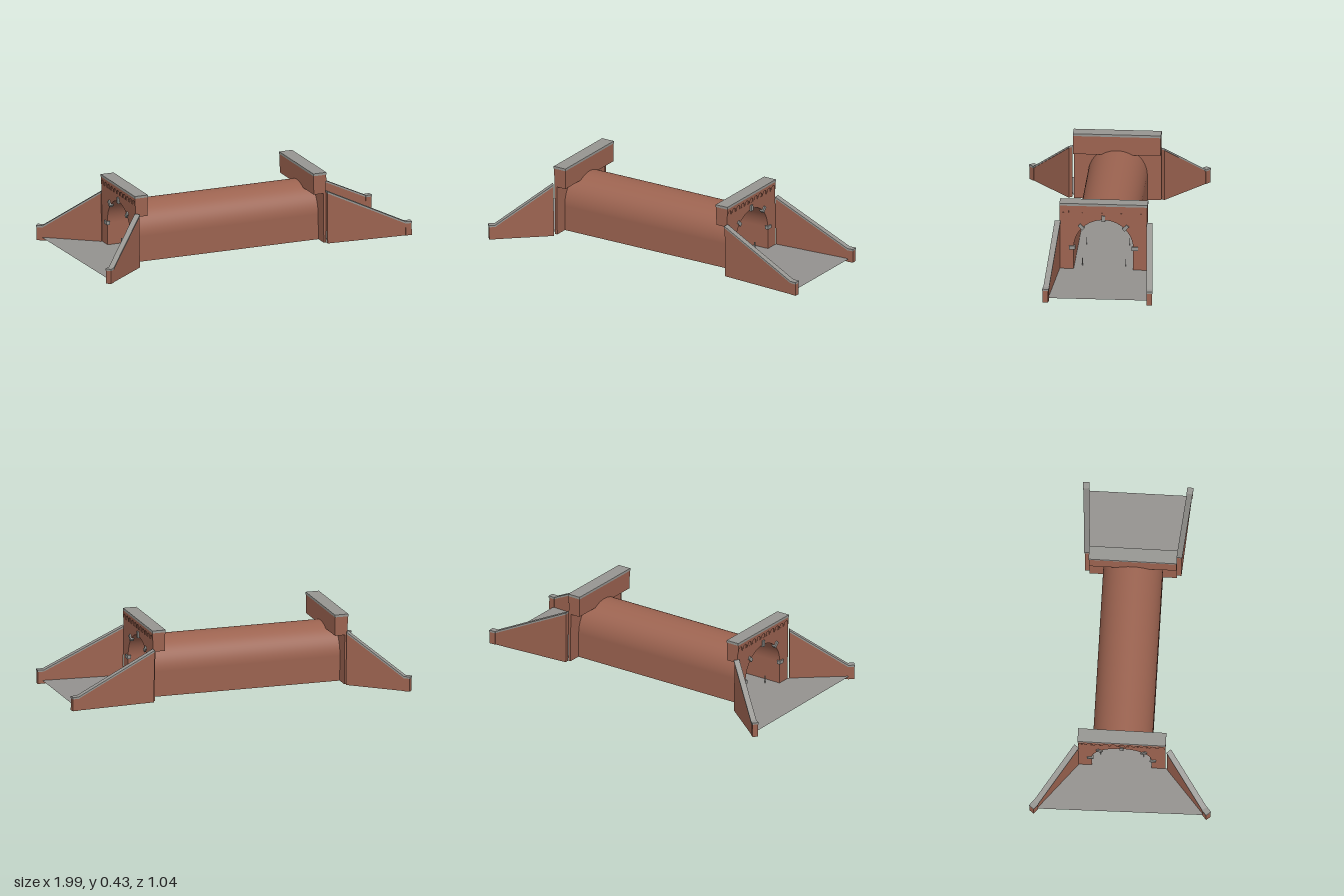
import * as THREE from 'three';

const mat = (name, color, side = THREE.FrontSide) => {
  const m = new THREE.MeshStandardMaterial({ color, side });
  m.name = name;
  return m;
};

const CZ = -0.011;      // tunnel axis in z
const R = 0.17;         // vault radius
const SPRING = 0.148;   // height where the vault begins
const FLOOR = 0.018;
const HALF = 0.25;      // half width of a portal

export function createModel() {
  const brick = mat('brick', 0x9c6350);
  const vaultBrick = mat('vault brick', 0x9c6350, THREE.DoubleSide);
  const stone = mat('stone', 0x979692);
  const ground = mat('ground', 0x94928f, THREE.DoubleSide);

  const root = new THREE.Group();
  const tunnel = new THREE.Group();
  tunnel.name = 'tunnel';
  tunnel.rotation.z = 0.0105; // gentle gradient
  tunnel.position.y = 0.0115;
  root.add(tunnel);

  const add = (parent, name, geo, material) => {
    const m = new THREE.Mesh(geo, material);
    m.name = name;
    parent.add(m);
    return m;
  };
  const box = (parent, name, material, w, h, d, x, y, z) => {
    const m = add(parent, name, new THREE.BoxGeometry(w, h, d), material);
    m.position.set(x, y, z);
    return m;
  };
  const extrude = (shape, depth) =>
    new THREE.ExtrudeGeometry(shape, { depth, bevelEnabled: false, curveSegments: 24 });

  // Vault: half cylinder with straight side walls
  const x0 = -0.685, x1 = 0.488, len = x1 - x0, mid = (x0 + x1) / 2;
  const vault = add(tunnel, 'vault',
    new THREE.CylinderGeometry(R, R, len, 40, 1, true, 0, Math.PI), vaultBrick);
  vault.rotation.z = Math.PI / 2;
  vault.rotation.order = 'YXZ';
  // axis along x, open half facing down
  vault.geometry.rotateY(Math.PI / 2 - Math.PI / 2);
  vault.geometry.translate(0, 0, 0);
  vault.position.set(mid, SPRING, CZ);
  for (const s of [1, -1]) {
    const side = add(tunnel, 'sideWall', new THREE.PlaneGeometry(len, SPRING), vaultBrick);
    side.position.set(mid, SPRING / 2, CZ + s * R);
    if (s < 0) side.rotation.y = Math.PI;
  }

  // Ground slab that widens in front of both portals
  const outline = [
    [-0.97, -0.485], [-0.685, -0.262], [-0.685, CZ - R], [0.488, CZ - R], [0.488, -0.275],
    [0.965, -0.305], [0.965, 0.28], [0.488, 0.25], [0.488, CZ + R], [-0.685, CZ + R],
    [-0.685, 0.245], [-0.955, 0.485],
  ];
  const slab = new THREE.ShapeGeometry(new THREE.Shape(outline.map(([x, z]) => new THREE.Vector2(x, -z))));
  slab.rotateX(-Math.PI / 2).translate(0, FLOOR, 0);
  add(tunnel, 'ground', slab, ground);

  // Wall outline between two heights, with the arched opening cut out
  const archedShape = (bottom, top) => {
    const a = bottom > SPRING ? Math.asin((bottom - SPRING) / R) : 0;
    const s = new THREE.Shape();
    s.moveTo(-HALF, bottom);
    s.lineTo(-R * Math.cos(a), bottom);
    s.absarc(0, SPRING, R, Math.PI - a, a, true);
    s.lineTo(R * Math.cos(a), bottom);
    s.lineTo(HALF, bottom);
    s.lineTo(HALF, top);
    s.lineTo(-HALF, top);
    return s;
  };

  // Band with a row of little arches along its lower edge
  const arcadeShape = () => {
    const s = new THREE.Shape();
    const n = 11, pitch = 2 * HALF / n, r = 0.0165;
    s.moveTo(-HALF, 0.36);
    for (let i = 0; i < n; i++) {
      const c = -HALF + (i + 0.5) * pitch;
      s.lineTo(c - r, 0.36);
      s.absarc(c, 0.37, r, Math.PI, 0, true);
      s.lineTo(c + r, 0.36);
    }
    s.lineTo(HALF, 0.36);
    s.lineTo(HALF, 0.402);
    s.lineTo(-HALF, 0.402);
    return s;
  };

  // Portal, built facing +x with its outer face at local x = 0
  const portal = (name, x, turn) => {
    const g = new THREE.Group();
    g.name = name;
    g.position.set(x, 0, CZ);
    g.rotation.y = turn;
    tunnel.add(g);
    const layer = (part, shape, from, to) => {
      const geo = extrude(shape, to - from);
      geo.rotateY(Math.PI / 2).translate(from, 0, 0);
      add(g, part, geo, brick);
    };
    layer('face', archedShape(0, 0.36), -0.015, 0);
    layer('parapet', archedShape(0.292, 0.402), -0.074, -0.0005);
    layer('arcade', arcadeShape(), -0.001, 0.004);
    box(g, 'coping', stone, 0.08, 0.014, 2 * HALF + 0.004, -0.036, 0.409, 0);
    // Stone blocks around the arch
    for (let i = 0; i <= 4; i++) {
      const a = i * Math.PI / 4, r = 0.179;
      const b = box(g, 'archStone', stone, 0.022, 0.036, 0.02,
        -0.003, SPRING + r * Math.sin(a), r * Math.cos(a));
      b.rotation.x = Math.PI / 2 - a;
    }
  };
  portal('rightPortal', 0.488, 0);
  portal('leftPortal', -0.688, Math.PI);

  // Sloping wing wall with coping and end pier, from [x, z] to [x, z]
  const wing = (name, [ax, az], [bx, bz], hIn, hOut) => {
    const g = new THREE.Group();
    g.name = name;
    g.position.set(ax, 0, az);
    g.rotation.y = -Math.atan2(bz - az, bx - ax);
    tunnel.add(g);
    const L = Math.hypot(bx - ax, bz - az), p = 0.036, t = 0.011;
    const prism = (part, pts, width, material) => {
      const geo = extrude(new THREE.Shape(pts.map(([u, v]) => new THREE.Vector2(u, v))), width);
      geo.translate(0, 0, -width / 2);
      add(g, part, geo, material);
    };
    prism('wall', [[0, 0], [L - p, 0], [L - p, hOut - t], [0, hIn - t]], 0.025, brick);
    prism('coping', [[0, hIn - t], [L - p, hOut - t], [L - p, hOut], [0, hIn]], 0.033, stone);
    box(g, 'pier', brick, p, hOut - t, 0.031, L - p / 2, (hOut - t) / 2, 0);
    box(g, 'pierCap', stone, p + 0.004, t, 0.036, L - p / 2, hOut - t / 2, 0);
  };
  wing('rightFrontWing', [0.488, 0.251], [0.992, 0.286], 0.309, 0.082);
  wing('rightBackWing', [0.488, -0.275], [0.992, -0.309], 0.309, 0.082);
  wing('leftFrontWing', [-0.685, 0.258], [-0.968, 0.5], 0.315, 0.088);
  wing('leftBackWing', [-0.685, -0.268], [-0.986, -0.508], 0.315, 0.088);

  // Slim marker posts beside the roadway
  for (const x of [-0.62, -0.25, 0.1, 0.43])
    for (const s of [1, -1])
      box(tunnel, 'post', stone, 0.006, 0.044, 0.004, x, FLOOR + 0.022, CZ + s * 0.123);

  return root;
}
